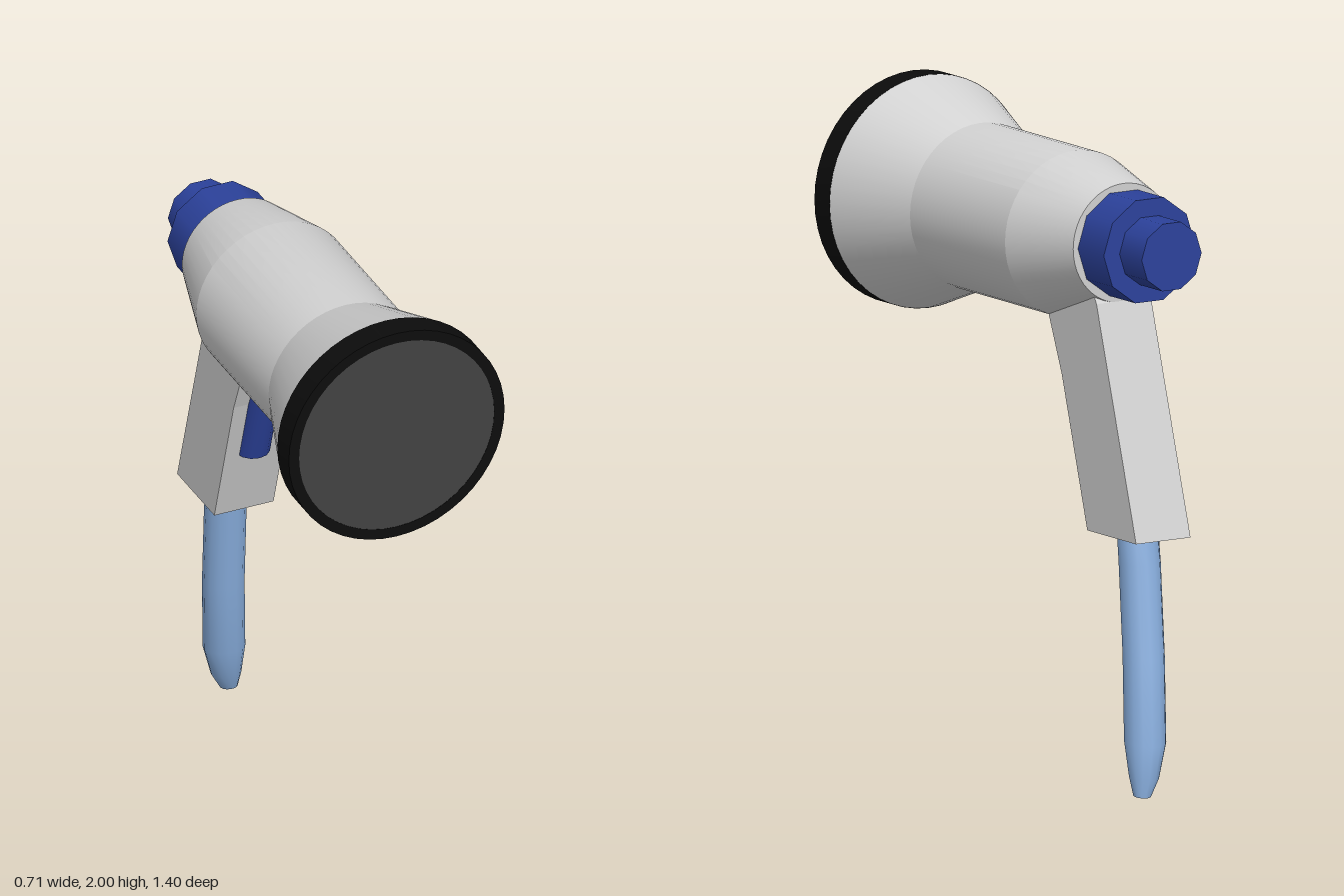
import * as THREE from 'three';
import { toCreasedNormals } from 'three/addons/utils/BufferGeometryUtils.js';

const mat = (name, color, extra = {}) => {
  const m = new THREE.MeshStandardMaterial({ color, ...extra });
  m.name = name;
  return m;
};

export function createModel() {
  const grey = mat('lightGrey', 0xd2d2d2);
  const blue = mat('darkBlue', 0x2c429c);
  const black = mat('black', 0x0c0c0c);
  const charcoal = mat('charcoal', 0x424242);
  const paleBlue = mat('paleBlue', 0x8ab0e0);

  const group = new THREE.Group();
  const add = (name, geometry, material) => {
    const mesh = new THREE.Mesh(geometry, material);
    mesh.name = name;
    group.add(mesh);
    return mesh;
  };
  const AXIS = 1.643; // height of the barrel axis

  // Revolve [radius, z] points about the barrel axis
  const revolve = (points) => {
    const g = new THREE.LatheGeometry(points.map(([r, z]) => new THREE.Vector2(r, z)), 48);
    g.rotateX(Math.PI / 2).translate(0, AXIS, 0);
    return g;
  };

  // Barrel: flared at the front, narrowed and slightly raised at the back
  const barrel = revolve([[0, -0.44], [0.182, -0.44], [0.255, -0.18], [0.255, 0.335], [0.357, 0.62]]);
  const p = barrel.attributes.position;
  for (let i = 0; i < p.count; i++) {
    if (p.getZ(i) < -0.4) p.setY(i, p.getY(i) + 0.014);
  }
  add('barrel', toCreasedNormals(barrel, 0.24), grey);

  // Front rim and the disc it frames
  const rim = revolve([[0.32, 0.618], [0.357, 0.618], [0.357, 0.7], [0.323, 0.7], [0.323, 0.69]]);
  add('rim', toCreasedNormals(rim, 0.5), black);
  add('frontDisc', new THREE.CircleGeometry(0.324, 48), charcoal).position.set(0, AXIS, 0.699);

  // Stepped rear knob
  const knob = (name, radius, z0, z1) => {
    const g = new THREE.CylinderGeometry(radius, radius, z1 - z0, 10, 1, false, Math.PI / 2);
    g.rotateX(Math.PI / 2).translate(0, 1.657, (z0 + z1) / 2);
    add(name, g, blue);
  };
  knob('rearCollar', 0.165, -0.58, -0.435);
  knob('rearKnob', 0.108, -0.7, -0.57);

  // Slanted grip, profile drawn as [z, y]
  const profile = [[-0.39, 0.78], [-0.655, 0.78], [-0.44, 1.48], [-0.41, 1.53], [-0.2, 1.46], [-0.18, 1.41], [-0.252, 1.235]];
  const shape = new THREE.Shape(profile.map(([z, y]) => new THREE.Vector2(z, y)));
  const grip = new THREE.ExtrudeGeometry(shape, { depth: 0.196, bevelEnabled: false });
  grip.rotateY(-Math.PI / 2).translate(0.098, 0, 0);
  add('grip', grip, grey);

  // Trigger: upright cylinder sheared along the grip
  const trigger = new THREE.CylinderGeometry(0.052, 0.052, 0.32, 12);
  trigger.applyMatrix4(new THREE.Matrix4().set(
    1, 0, 0, 0,
    0, 1, 0, 1.18,
    0, 0.3, 1, -0.28,
    0, 0, 0, 1));
  add('trigger', toCreasedNormals(trigger, 0.7), blue);

  // Cable: rings of [x, y, z, radius], tapering to a blunt tip
  const rings = [
    [0.002, 0.82, -0.515, 0.063], [0.005, 0.7, -0.534, 0.064], [0.017, 0.42, -0.574, 0.064],
    [0.037, 0.165, -0.612, 0.064], [0.05, 0.06, -0.626, 0.046], [0.063, 0.004, -0.635, 0.027],
  ];
  const N = 14;
  const pos = [];
  const idx = [];
  rings.forEach(([x, y, z, r], i) => {
    for (let j = 0; j < N; j++) {
      const t = (j / N) * Math.PI * 2;
      const tilt = 0.14 * r * Math.sin(t);
      pos.push(x + r * Math.cos(t), y + tilt, z + r * Math.sin(t));
      if (i === rings.length - 1) continue;
      const a = i * N + j, b = i * N + (j + 1) % N;
      idx.push(a, b, a + N, b, b + N, a + N);
    }
  });
  const [ex, ey, ez] = rings[rings.length - 1];
  const last = (rings.length - 1) * N;
  pos.push(ex, ey, ez);
  for (let j = 0; j < N; j++) idx.push(last + N, last + j, last + (j + 1) % N);
  const cable = new THREE.BufferGeometry();
  cable.setAttribute('position', new THREE.Float32BufferAttribute(pos, 3));
  cable.setIndex(idx);
  add('cable', toCreasedNormals(cable, 0.7), paleBlue);

  return group;
}
